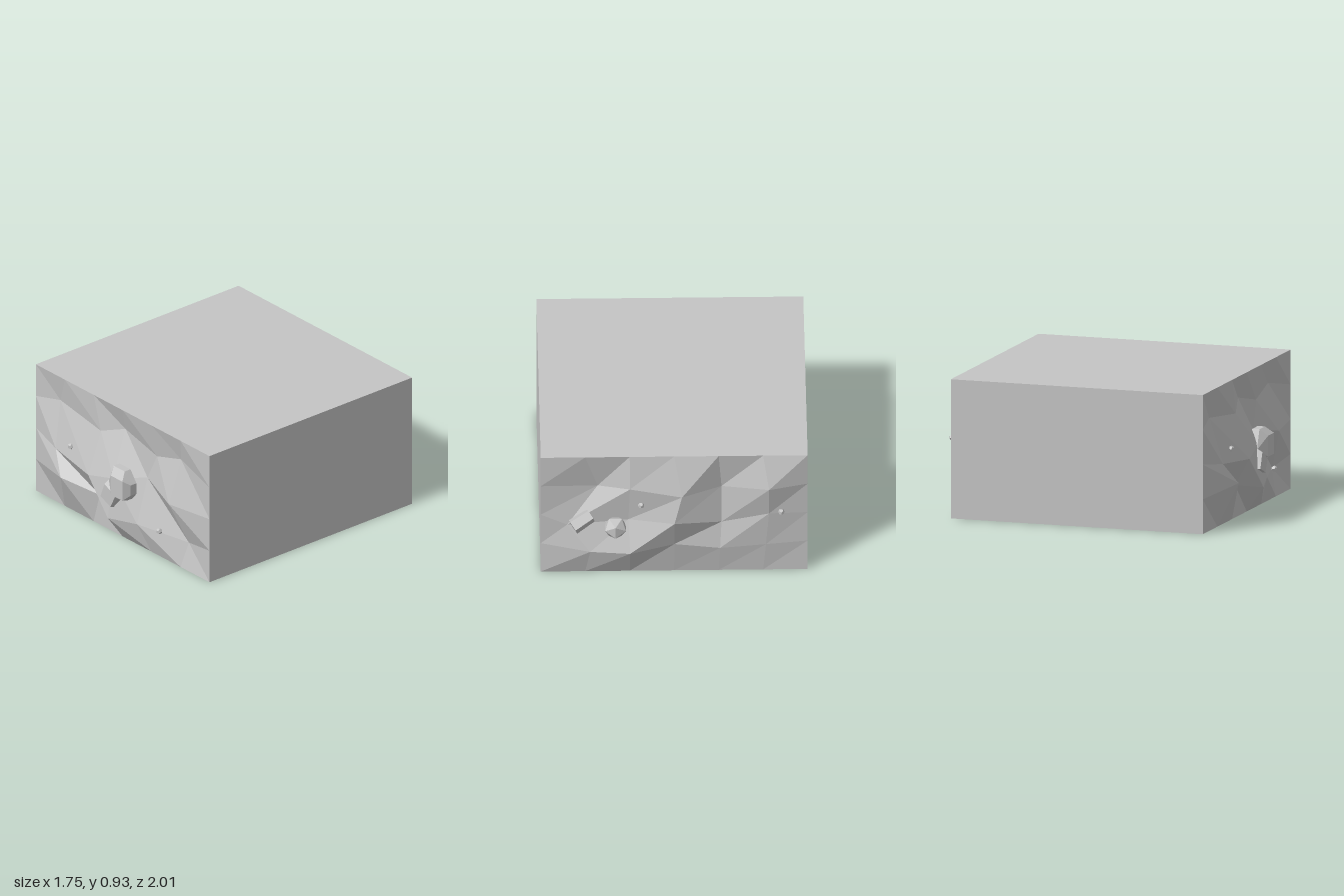
import * as THREE from 'three';
import { ConvexGeometry } from 'three/addons/geometries/ConvexGeometry.js';

const W = 0.873, H = 0.925, FRONT = 0.865, BACK = -0.88;

// Rock wall: a 6 x 4 grid with straight borders; rows holds the moved inner
// points, lowest row first, each as [x, y, distance out of the wall].
function wallGeometry(rows, z0, dir) {
  const point = (i, j) => {
    if (i > 0 && i < 6 && j > 0 && j < 4) {
      const [x, y, d] = rows[j - 1][i - 1];
      return [x, y, z0 + dir * d];
    }
    return [-W + (i * 2 * W) / 6, (j * H) / 4, z0];
  };
  const pos = [];
  for (let j = 0; j < 4; j++) {
    for (let i = 0; i < 6; i++) {
      const a = point(i, j), b = point(i + 1, j), c = point(i + 1, j + 1), d = point(i, j + 1);
      const tris = dir > 0 ? [a, b, d, b, c, d] : [a, d, b, b, d, c];
      tris.forEach((p) => pos.push(...p));
    }
  }
  const geo = new THREE.BufferGeometry();
  geo.setAttribute('position', new THREE.Float32BufferAttribute(pos, 3));
  geo.computeVertexNormals();
  return geo;
}

// Crystal: convex hull of a ring running from zBase to zRing, and a smaller cap at zCap
function crystalGeometry(ring, zBase, zRing, cap, zCap) {
  return new ConvexGeometry([
    ...ring.map(([x, y]) => new THREE.Vector3(x, y, zBase)),
    ...ring.map(([x, y]) => new THREE.Vector3(x, y, zRing)),
    ...cap.map(([x, y]) => new THREE.Vector3(x, y, zCap)),
  ]);
}

export function createModel() {
  const group = new THREE.Group();
  const stone = new THREE.MeshStandardMaterial({ color: 0xc4c4c4, flatShading: true });
  stone.name = 'grey stone';

  const add = (name, geo, x = 0, y = 0, z = 0) => {
    const mesh = new THREE.Mesh(geo, stone);
    mesh.name = name;
    mesh.position.set(x, y, z);
    group.add(mesh);
    return mesh;
  };

  // Flat top, bottom and sides
  const depth = FRONT - BACK, mid = (FRONT + BACK) / 2;
  const panel = (name, w, h, x, y, rx, ry) =>
    add(name, new THREE.PlaneGeometry(w, h), x, y, mid).rotation.set(rx, ry, 0);
  panel('top', 2 * W, depth, 0, H, -Math.PI / 2, 0);
  panel('bottom', 2 * W, depth, 0, 0, Math.PI / 2, 0);
  panel('leftSide', depth, H, W, H / 2, 0, Math.PI / 2);
  panel('rightSide', depth, H, -W, H / 2, 0, -Math.PI / 2);

  // Rugged front and back walls
  add('frontRockWall', wallGeometry([
    [[-0.49, 0.28, 0.115], [-0.23, 0.215, 0], [-0.01, 0.17, 0.12], [0.22, 0.195, 0.065], [0.62, 0.18, -0.04]],
    [[-0.615, 0.425, 0.05], [-0.23, 0.395, 0.1], [0, 0.45, 0.08], [0.215, 0.505, -0.03], [0.515, 0.45, 0.045]],
    [[-0.66, 0.735, -0.03], [-0.22, 0.69, 0], [-0.03, 0.76, -0.05], [0.3, 0.69, -0.04], [0.54, 0.76, -0.04]],
  ], FRONT, 1));
  add('backRockWall', wallGeometry([
    [[-0.6, 0.22, 0.02], [-0.3, 0.2, 0.03], [0, 0.25, 0.05], [0.29, 0.21, 0.1], [0.55, 0.2, 0.06]],
    [[-0.62, 0.48, 0.035], [-0.31, 0.385, -0.01], [0, 0.46, 0.115], [0.3, 0.43, 0.015], [0.7, 0.38, 0]],
    [[-0.62, 0.7, 0.075], [-0.31, 0.66, -0.03], [-0.05, 0.655, 0.087], [0.29, 0.69, 0.04], [0.5, 0.66, -0.05]],
  ], BACK, -1));

  // Front crystals
  add('largeFrontCrystal', crystalGeometry(
    [[0.01, 0.55], [0.12, 0.55], [0.18, 0.47], [0.18, 0.395], [0.15, 0.35], [0.03, 0.345], [-0.04, 0.42]], 0.9, 0.95,
    [[0.04, 0.505], [0.155, 0.505], [0.155, 0.365], [0.04, 0.365]], 1));
  add('smallFrontCrystal', crystalGeometry(
    [[-0.04, 0.43], [0.1, 0.37], [0.03, 0.255], [-0.085, 0.3]], 0.9, 0.95,
    [[-0.04, 0.41], [0.07, 0.36], [0.02, 0.265], [-0.08, 0.305]], 0.988));

  // Back crystals
  add('largeBackCrystal', new THREE.IcosahedronGeometry(0.08), 0.385, 0.385, -0.922);
  add('smallBackCrystal', new THREE.CylinderGeometry(0.05, 0.055, 0.14, 5), 0.605, 0.445, -0.93)
    .rotation.set(0.7, 0, 1.0);

  // Pebbles stuck to the walls
  [[-0.46, 0.5, 0.918], [0.42, 0.215, 0.91], [-0.7, 0.505, -0.93], [0.217, 0.57, -0.935]].forEach(([x, y, z]) =>
    add('pebble', new THREE.DodecahedronGeometry(0.021), x, y, z));

  return group;
}
